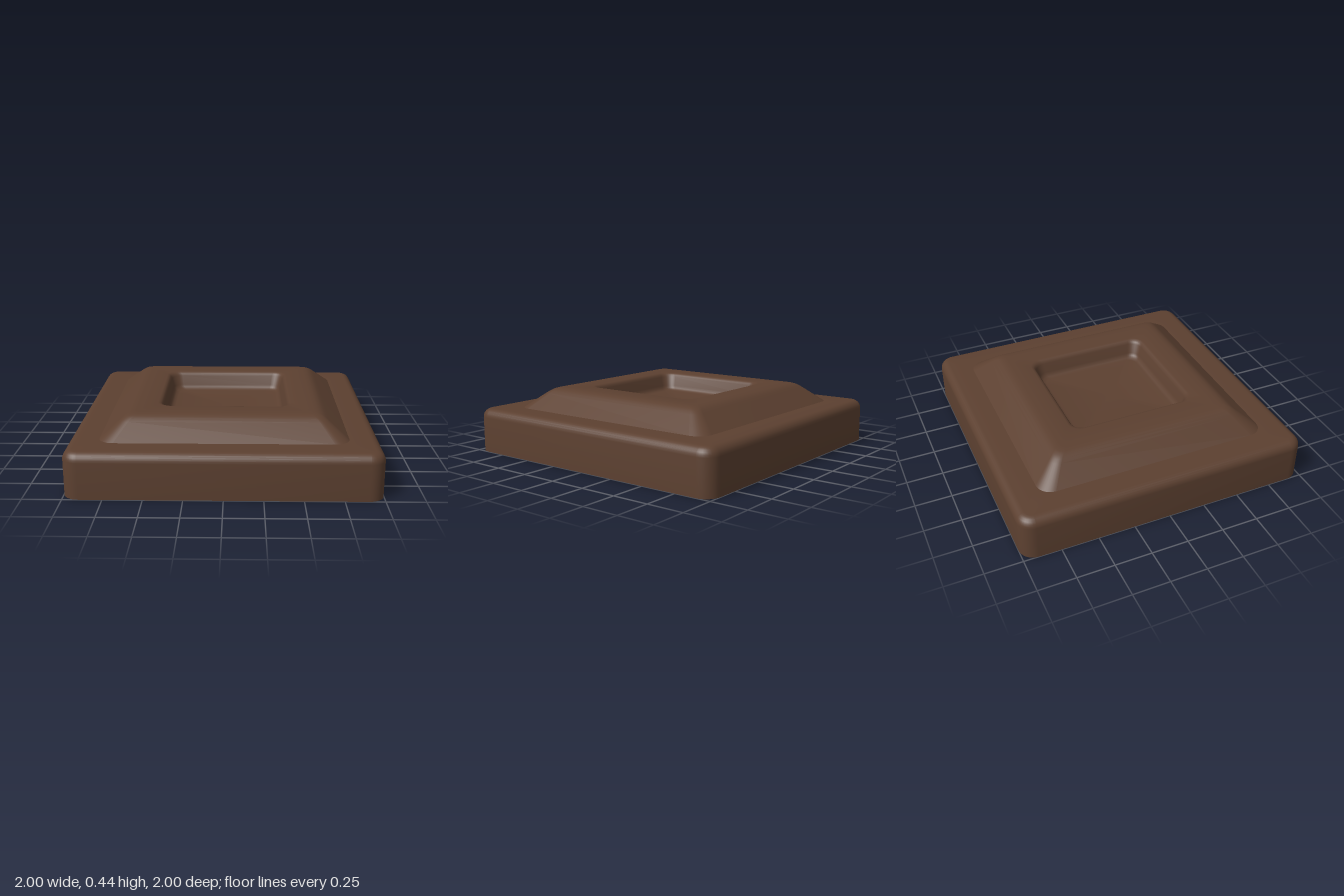
import * as THREE from 'three';
import { toCreasedNormals } from 'three/addons/utils/BufferGeometryUtils.js';

const CORNER_STEPS = 8;

// Outline of a rounded square: half width h, corner radius r, height y
function ring([h, r, y]) {
  const points = [];
  for (let q = 0; q < 4; q++) {
    const mid = (q + 0.5) * Math.PI / 2;
    const cx = Math.sign(Math.cos(mid)) * (h - r);
    const cz = Math.sign(Math.sin(mid)) * (h - r);
    for (let k = 0; k <= CORNER_STEPS; k++) {
      const a = (q + k / CORNER_STEPS) * Math.PI / 2;
      points.push([cx + r * Math.cos(a), y, cz + r * Math.sin(a)]);
    }
  }
  return points;
}

// Skin joining successive rounded squares; a row of half width 0 closes the end
function loft(rows) {
  const rings = rows.map(ring);
  const positions = [];
  for (let i = 0; i < rings.length - 1; i++) {
    const lower = rings[i], upper = rings[i + 1], n = lower.length;
    for (let j = 0; j < n; j++) {
      const k = (j + 1) % n;
      if (rows[i + 1][0] > 0) positions.push(...lower[j], ...upper[j], ...upper[k]);
      if (rows[i][0] > 0) positions.push(...lower[j], ...upper[k], ...lower[k]);
    }
  }
  const geometry = new THREE.BufferGeometry();
  geometry.setAttribute('position', new THREE.Float32BufferAttribute(positions, 3));
  return toCreasedNormals(geometry, 0.6);
}

// Quarter-round rows running up and inward over an edge
function roundedEdge(h, r, y, size, steps = 6) {
  return Array.from({ length: steps + 1 }, (_, i) => {
    const a = (i / steps) * Math.PI / 2;
    const inset = size * (1 - Math.cos(a));
    return [h - inset, r - inset, y - size + size * Math.sin(a)];
  });
}

export function createModel() {
  const group = new THREE.Group();
  group.name = 'chocolateSquare';
  const chocolate = new THREE.MeshStandardMaterial({ color: 0x5c4030 });

  const addPart = (name, rows) => {
    const mesh = new THREE.Mesh(loft(rows), chocolate);
    mesh.name = name;
    group.add(mesh);
  };

  // Slab with rounded top edge and a flat ledge
  addPart('base', [
    [0, 0, 0],
    [1, 0.1, 0],
    ...roundedEdge(1, 0.1, 0.3, 0.06),
    [0.8, 0.1, 0.3],
  ]);

  // Sloped raised block with a sunken square in its top
  addPart('raisedTop', [
    [0.8, 0.1, 0.3],
    [0.675, 0.06, 0.4],
    [0.655, 0.055, 0.415],
    [0.635, 0.05, 0.427],
    [0.61, 0.045, 0.435],
    [0.58, 0.04, 0.438],
    [0.45, 0.09, 0.438],
    [0.435, 0.085, 0.434],
    [0.425, 0.08, 0.424],
    [0.418, 0.08, 0.41],
    [0.4, 0.07, 0.345],
    [0.393, 0.07, 0.328],
    [0.38, 0.065, 0.315],
    [0.36, 0.06, 0.31],
    [0, 0, 0.31],
  ]);

  return group;
}
